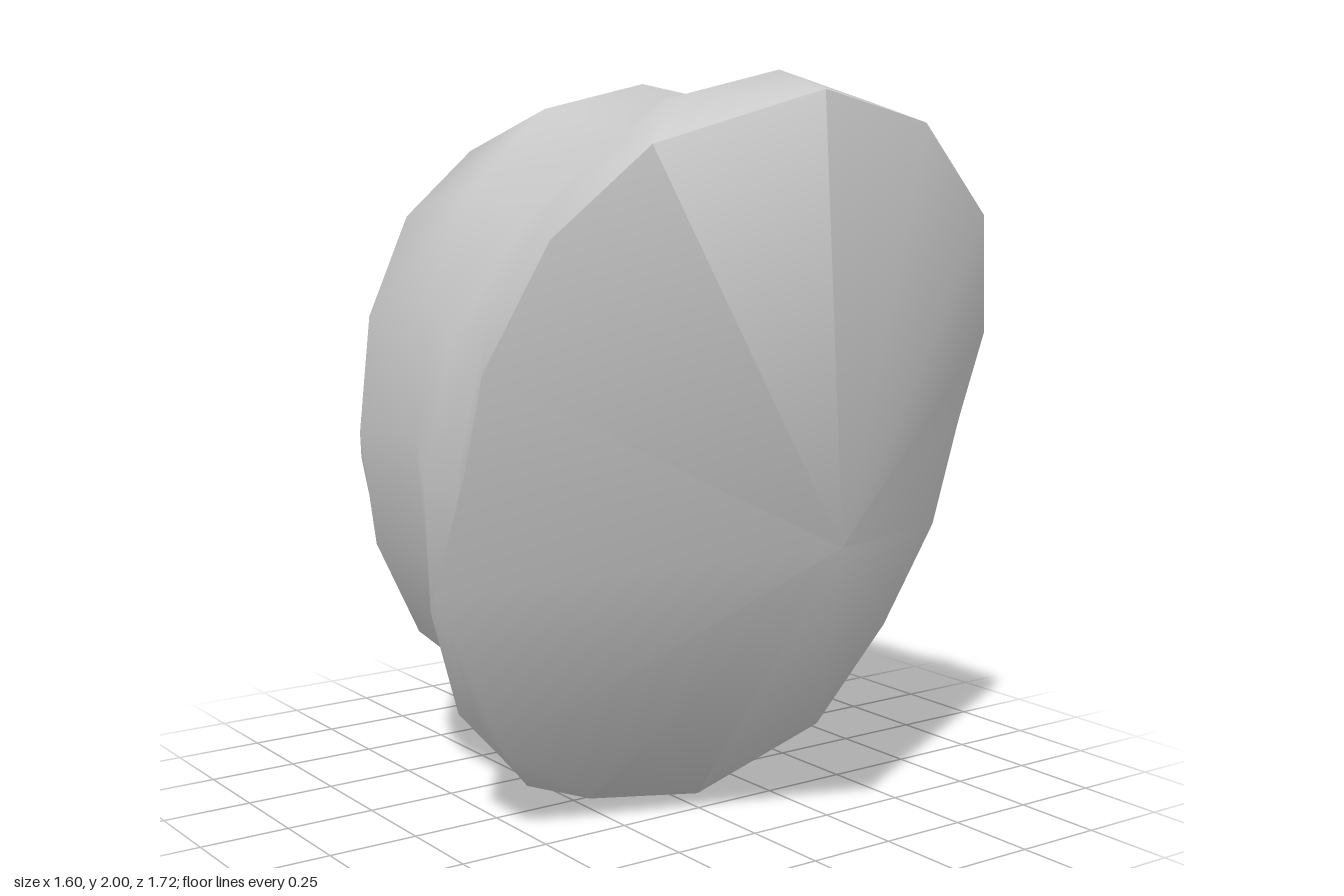
import * as THREE from 'three';
import { toCreasedNormals } from 'three/addons/utils/BufferGeometryUtils.js';

const SIDES = 16;

// Irregular front rim, clockwise from the top as seen from the front
const RIM = [
  [0, 1.95, 0.75], [0.36, 1.87, 0.72], [0.6, 1.63, 0.69], [0.75, 1.3, 0.55],
  [0.75, 1.05, 0.46], [0.79, 0.72, 0.32], [0.68, 0.42, 0.24], [0.48, 0.14, 0.18],
  [0.07, 0, 0.15], [-0.3, 0.06, 0.16], [-0.6, 0.26, 0.2], [-0.81, 0.7, 0.23],
  [-0.8, 1.05, 0.38], [-0.8, 1.28, 0.46], [-0.69, 1.6, 0.59], [-0.47, 1.82, 0.69],
];

// Curved ring through a top point, two side points and a bottom point;
// higher powers pinch the upper or lower shoulders
function ring([yTop, zTop], [xSide, zSide], [yBottom, zBottom], upper, lower) {
  const points = [];
  for (let i = 0; i < SIDES; i++) {
    const a = (i / SIDES) * Math.PI * 2, c = Math.cos(a), s = Math.sin(a);
    const zEnd = c > 0 ? zTop : zBottom;
    points.push([
      xSide * Math.sign(s) * Math.pow(Math.abs(s), c > 0 ? upper : lower),
      (yTop + yBottom) / 2 + ((yTop - yBottom) / 2) * c,
      zSide + (zEnd - zSide) * Math.pow(Math.abs(c), 1.5),
    ]);
  }
  return points;
}

// Closed skin: front apex, rings from front to back, back pole
function skin(apex, rings, pole) {
  const positions = [apex, ...rings.flat(), pole].flat();
  const last = rings.length * SIDES + 1;
  const at = (r, i) => 1 + r * SIDES + (i % SIDES);
  const index = [];
  for (let i = 0; i < SIDES; i++) {
    index.push(0, at(0, i + 1), at(0, i));
    for (let r = 0; r < rings.length - 1; r++) {
      index.push(at(r, i), at(r, i + 1), at(r + 1, i));
      index.push(at(r, i + 1), at(r + 1, i + 1), at(r + 1, i));
    }
    index.push(at(rings.length - 1, i), at(rings.length - 1, i + 1), last);
  }
  const geometry = new THREE.BufferGeometry();
  geometry.setAttribute('position', new THREE.Float32BufferAttribute(positions, 3));
  geometry.setIndex(index);
  return toCreasedNormals(geometry, 1.1);
}

export function createModel() {
  const group = new THREE.Group();
  group.name = 'roundedShell';

  const rings = [
    RIM,
    ring([2.0, 0.57], [0.77, 0.28], [0.03, 0.06], 0.9, 0.55),       // raised crest
    ring([1.91, 0.42], [0.78, 0.13], [0.05, -0.03], 0.85, 0.6),     // dip behind the crest
    ring([1.975, -0.02], [0.71, -0.04], [0.17, -0.11], 0.85, 0.75), // waist
    ring([1.855, -0.41], [0.73, -0.31], [0.23, -0.3], 0.85, 0.75),  // rounded back
    ring([1.59, -0.6], [0.61, -0.54], [0.275, -0.46], 1.25, 0.9),
    ring([1.34, -0.82], [0.5, -0.71], [0.56, -0.77], 1, 1),
  ];

  const shell = new THREE.Mesh(
    skin([-0.02, 0.84, 0.86], rings, [0.01, 0.94, -0.86]),
    new THREE.MeshStandardMaterial({ color: 0xcccccc, side: THREE.DoubleSide }),
  );
  shell.name = 'shell';
  group.add(shell);
  return group;
}
